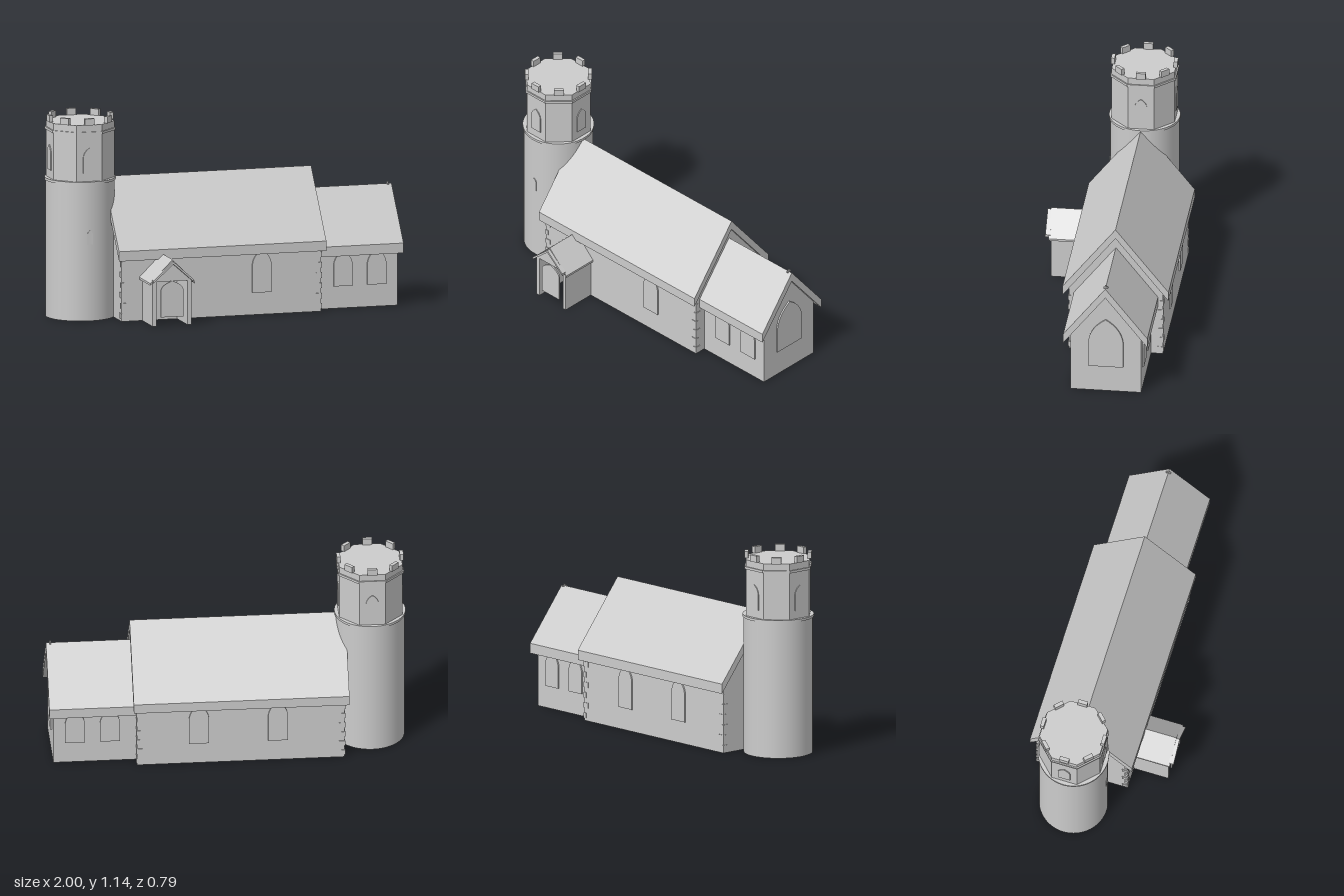
import * as THREE from 'three';

const stone = new THREE.MeshStandardMaterial({ color: 0xcccccc });
stone.name = 'pale stone';

const CZ = -0.096; // centre line of nave, chancel and tower

function add(parent, name, geo, x = 0, y = 0, z = 0, ry = 0) {
  const m = new THREE.Mesh(geo, stone);
  m.name = name;
  m.position.set(x, y, z);
  m.rotation.y = ry;
  parent.add(m);
  return m;
}

const poly = (pts) => new THREE.Shape(pts.map(([x, y]) => new THREE.Vector2(x, y)));
const extrude = (shape, depth) =>
  new THREE.ExtrudeGeometry(shape, { depth, bevelEnabled: false, curveSegments: 8 });

// Gabled roof section with vertical eave cuts
const chevron = (half, eave, apex, t) => poly([
  [-half, eave - t], [0, apex - t], [half, eave - t], [half, eave], [0, apex], [-half, eave],
]);

// Wall section with a gable that meets the underside of the roof
const gableWall = (half, eave, apex) => poly([
  [-half, 0], [half, 0], [half, eave], [0, apex], [-half, eave],
]);

// Pointed arch panel
function arch(w, y0, spring, top) {
  const h = w / 2, s = new THREE.Shape();
  s.moveTo(-h, y0);
  s.lineTo(h, y0);
  s.lineTo(h, spring);
  s.quadraticCurveTo(h * 0.9, spring + (top - spring) * 0.62, 0, top);
  s.quadraticCurveTo(-h * 0.9, spring + (top - spring) * 0.62, -h, spring);
  return extrude(s, 0.009);
}

// Sharp-edged octagonal prism with flats facing the main axes
function octagon(apothem, h) {
  const r = apothem / Math.cos(Math.PI / 8);
  const g = new THREE.CylinderGeometry(r, r, h, 8).rotateY(Math.PI / 8).toNonIndexed();
  g.computeVertexNormals();
  return g;
}

function buildTower() {
  const g = new THREE.Group();
  g.name = 'tower';
  g.position.set(-0.802, 0, CZ);
  add(g, 'roundTower', new THREE.CylinderGeometry(0.192, 0.192, 0.775, 64), 0, 0.3875);
  add(g, 'towerLedge', new THREE.CylinderGeometry(0.198, 0.198, 0.014, 64), 0, 0.776);
  add(g, 'belfry', octagon(0.176, 0.325), 0, 0.9375);
  add(g, 'belfryBand', octagon(0.183, 0.014), 0, 1.055);
  add(g, 'towerSlit', arch(0.03, 0.43, 0.49, 0.51), 0, 0, 0.186);
  for (let i = 0; i < 8; i++) {
    const a = i * Math.PI / 4;
    add(g, 'merlon', new THREE.BoxGeometry(0.054, 0.037, 0.021),
      Math.sin(a) * 0.1755, 1.1185, Math.cos(a) * 0.1755, a);
    if (i % 2 === 0) {
      add(g, 'belfryWindow', arch(0.07, 0.83, 0.92, 0.97),
        Math.sin(a) * 0.172, 0, Math.cos(a) * 0.172, a);
    }
  }
  return g;
}

// Gabled hall along x: walls, roof and side windows
function buildHall(name, o) {
  const g = new THREE.Group();
  g.name = name;
  const under = o.apex - o.t;
  const wallTop = under - (o.apex - o.eave) * (o.wallHalf / o.roofHalf);
  add(g, name + 'Walls', extrude(gableWall(o.wallHalf, wallTop, under), o.wallX[1] - o.wallX[0]),
    o.wallX[0], 0, CZ, Math.PI / 2);
  add(g, name + 'Roof', extrude(chevron(o.roofHalf, o.eave, o.apex, o.t), o.roofX[1] - o.roofX[0]),
    o.roofX[0], 0, CZ, Math.PI / 2);
  const win = arch(0.11, 0.125, o.winTop - 0.08, o.winTop);
  for (const x of o.front) add(g, name + 'Window', win, x, 0, CZ + o.wallHalf - 0.001);
  for (const x of o.back) add(g, name + 'Window', win, x, 0, CZ - o.wallHalf + 0.001, Math.PI);
  return g;
}

// Alternating corner stones on the four nave corners
function buildQuoins() {
  const g = new THREE.Group();
  g.name = 'quoins';
  for (const [x, sx] of [[0.515, 1], [-0.64, -1]]) {
    for (const sz of [1, -1]) {
      for (let i = 0; i < 6; i++) {
        const lx = i % 2 ? 0.035 : 0.02, lz = i % 2 ? 0.02 : 0.035;
        add(g, 'quoin', new THREE.BoxGeometry(lx, 0.03, lz),
          x + sx * (0.004 - lx / 2), 0.03 + i * 0.058, CZ + sz * (0.267 - lz / 2));
      }
    }
  }
  return g;
}

function buildPorch() {
  const g = new THREE.Group();
  g.name = 'porch';
  g.position.set(-0.409, 0, 0);
  for (const s of [-1, 1]) {
    add(g, 'porchWall', new THREE.BoxGeometry(0.022, 0.255, 0.217), s * 0.101, 0.1275, 0.2585);
  }
  add(g, 'porchGable', extrude(poly([[-0.112, 0.25], [0.112, 0.25], [0, 0.362]]), 0.022), 0, 0, 0.345);
  add(g, 'porchRoof', extrude(chevron(0.129, 0.245, 0.373, 0.012), 0.219), 0, 0, 0.16);
  add(g, 'bargeBoard', extrude(chevron(0.115, 0.262, 0.364, 0.014), 0.028), 0, 0, 0.37);
  add(g, 'porchDoor', arch(0.132, 0.05, 0.2, 0.252), 0, 0, 0.364);
  return g;
}

export function createModel() {
  const model = new THREE.Group();
  model.name = 'church';
  model.add(buildTower());
  model.add(buildHall('nave', {
    wallHalf: 0.263, roofHalf: 0.296, eave: 0.4, apex: 0.776, t: 0.055,
    wallX: [-0.64, 0.515], roofX: [-0.665, 0.535], winTop: 0.365,
    front: [0.17], back: [0.17, -0.27],
  }));
  model.add(buildHall('chancel', {
    wallHalf: 0.197, roofHalf: 0.235, eave: 0.355, apex: 0.653, t: 0.056,
    wallX: [0.5, 0.975], roofX: [0.5, 1.0], winTop: 0.325,
    front: [0.66, 0.855], back: [0.66, 0.855],
  }));
  model.add(buildQuoins());
  model.add(buildPorch());

  // Large window in the end gable
  add(model, 'eastWindow', arch(0.195, 0.155, 0.31, 0.45), 0.975, 0, CZ, Math.PI / 2);

  // Small cross on the chancel ridge
  add(model, 'crossPost', new THREE.BoxGeometry(0.009, 0.03, 0.009), 0.977, 0.649, CZ);
  add(model, 'crossArm', new THREE.BoxGeometry(0.008, 0.008, 0.027), 0.977, 0.652, CZ);
  return model;
}
